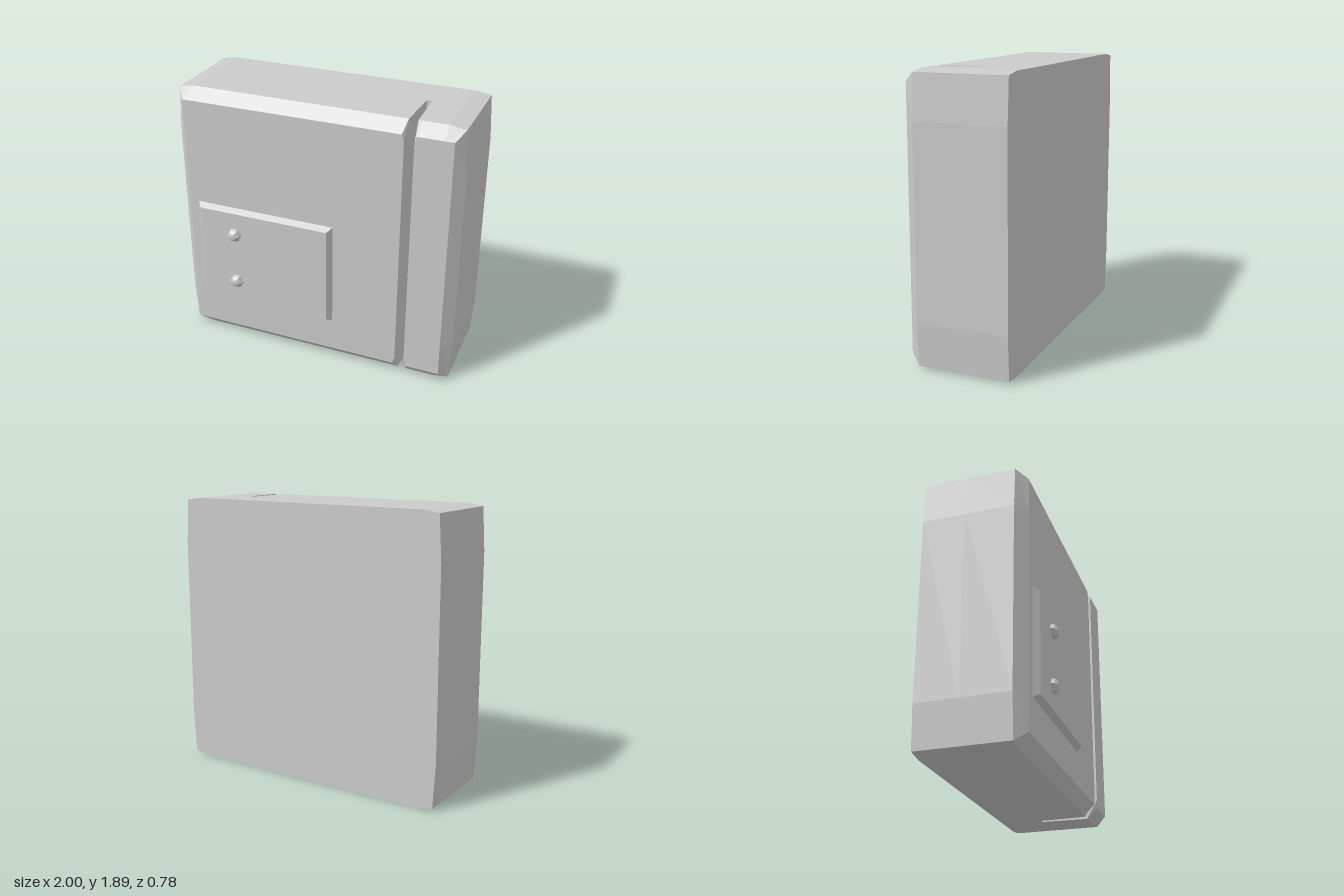
import * as THREE from 'three';

const material = new THREE.MeshStandardMaterial({ color: 0xcccccc, flatShading: true });

// Skins matching outlines (counter-clockwise from the front) from back to front.
function loft(name, rings, capBack) {
  const pos = [], index = [], n = rings[0].points.length;
  for (const { z, points } of rings) for (const [x, y] of points) pos.push(x, y, z);
  for (let r = 0; r < rings.length - 1; r++) {
    for (let i = 0; i < n; i++) {
      const a = r * n + i, b = r * n + (i + 1) % n;
      index.push(a, b, b + n, a, b + n, a + n);
    }
  }
  const last = (rings.length - 1) * n;
  for (let i = 1; i < n - 1; i++) {
    index.push(last, last + i, last + i + 1);
    if (capBack) index.push(0, i + 1, i);
  }
  const indexed = new THREE.BufferGeometry();
  indexed.setAttribute('position', new THREE.Float32BufferAttribute(pos, 3));
  indexed.setIndex(index);
  const geometry = indexed.toNonIndexed();
  geometry.computeVertexNormals();
  const mesh = new THREE.Mesh(geometry, material);
  mesh.name = name;
  return mesh;
}

const H = 1.89, MID = H / 2;
const BACK = -0.39, FLOOR = -0.1, SHOULDER = 0.23, FRONT = 0.305;

// Lower half of the slightly bulging outer edge, as distances from the centre.
const outerEdge = [[1, 0.635], [0.982, 0.928], [0.87, MID]];
const bevelEdge = [[0.93, 0.635], [0.93, 0.867], [0.87, 0.867]];

// Right-hand outer edge, from bottom to top.
function edgePoints(edge) {
  const lower = edge.map(([x, y]) => [x, MID - y]).reverse();
  const upper = edge.map(([x, y]) => [x, MID + y]);
  return [...lower, ...upper];
}

const mirror = (points) => points.map(([x, y]) => [-x, y]).reverse();

// Outline of the block on one side of the slot; the slot corners are clipped.
function blockOutline(side, edge, slotX, clipX, clipY, slotY) {
  const outer = edgePoints(edge);
  const slot = [[clipX, H - clipY], [slotX, H - slotY], [slotX, slotY], [clipX, clipY]];
  return side > 0 ? [...outer, ...slot] : [...mirror(outer), ...slot.reverse()];
}

function frontBlock(name, side) {
  const c = 0.647;
  return loft(name, [
    { z: FLOOR, points: blockOutline(side, outerEdge, c + side * 0.017, c + side * 0.05, 0, 0) },
    { z: SHOULDER, points: blockOutline(side, outerEdge, c + side * 0.03, c + side * 0.054, 0, 0) },
    { z: FRONT, points: blockOutline(side, bevelEdge, c + side * 0.033, c + side * 0.048, 0.078, 0.13) },
  ], false);
}

const rectangle = (x0, x1, y0, y1) => [[x0, y0], [x1, y0], [x1, y1], [x0, y1]];

export function createModel() {
  const model = new THREE.Group();
  model.name = 'slottedBlock';

  // Solid back, closing the bottom of the slot
  const edge = edgePoints(outerEdge);
  const outline = [...edge, ...mirror(edge)];
  model.add(loft('backBody', [{ z: BACK, points: outline }, { z: FLOOR, points: outline }], true));

  // Bevelled front blocks on both sides of the slot
  model.add(frontBlock('wideFrontBlock', -1), frontBlock('narrowFrontBlock', 1));

  // Raised plate with sloping edges
  model.add(loft('frontPlate', [
    { z: FRONT - 0.01, points: rectangle(-0.86, 0.147, 0.318, 1.066) },
    { z: FRONT, points: rectangle(-0.86, 0.147, 0.318, 1.066) },
    { z: 0.345, points: rectangle(-0.83, 0.118, 0.345, 1.04) },
  ], false));

  // Two domed studs on the plate
  for (const [name, y] of [['upperStud', 0.877], ['lowerStud', 0.5]]) {
    const dome = new THREE.SphereGeometry(0.052, 6, 3, 0, Math.PI * 2, 0, Math.PI / 2);
    dome.rotateX(Math.PI / 2);
    dome.scale(1, 1, 0.88);
    const stud = new THREE.Mesh(dome, material);
    stud.name = name;
    stud.position.set(-0.57, y, 0.345);
    model.add(stud);
  }
  return model;
}
